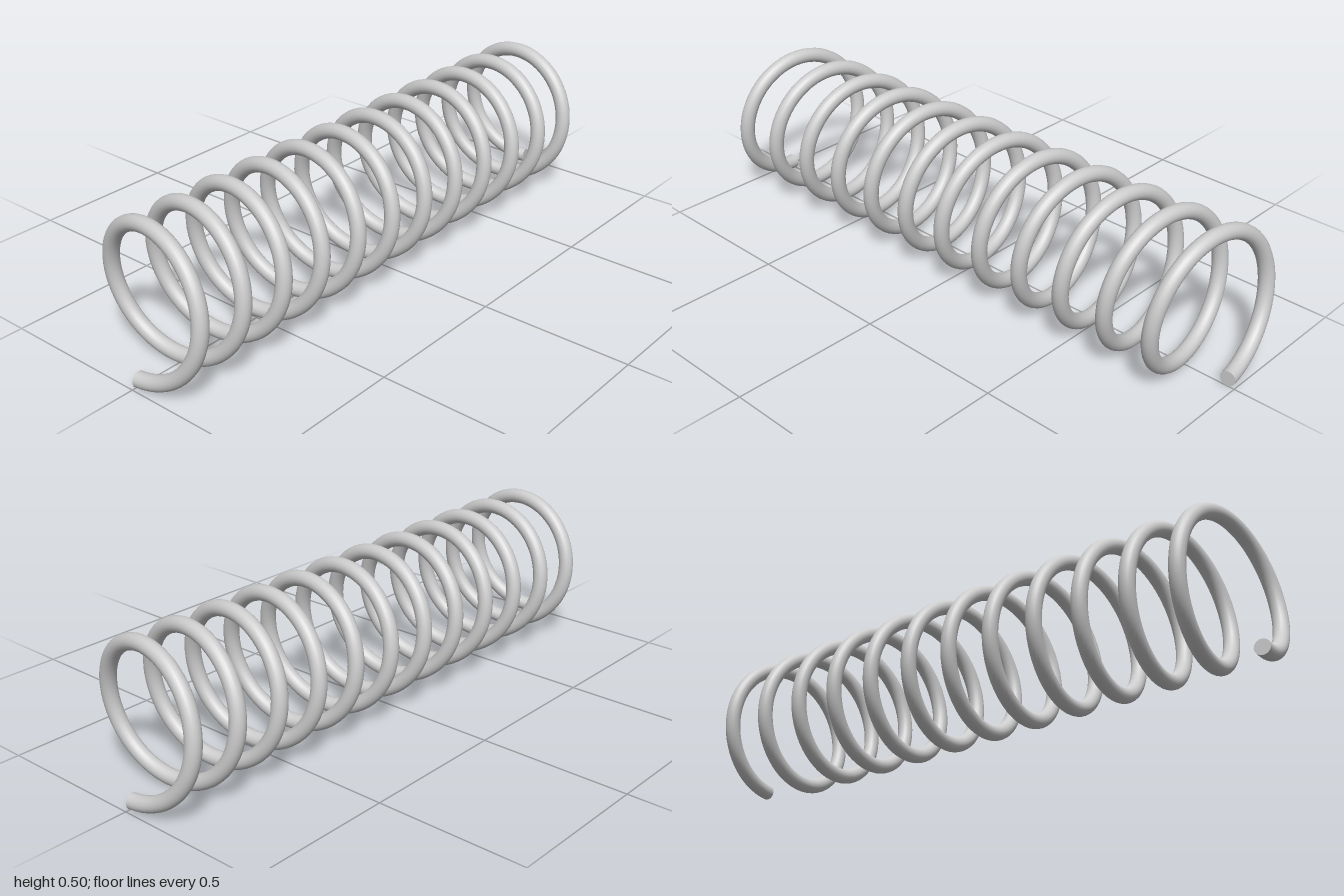
import * as THREE from 'three';

const TURNS = 12;
const COIL_RADIUS = 0.223;
const WIRE_RADIUS = 0.025;
const HALF_LENGTH = 0.975;
const AXIS_HEIGHT = COIL_RADIUS + WIRE_RADIUS;

// Helix along x, starting and ending at the bottom of the coil
class Helix extends THREE.Curve {
  getPoint(t, target = new THREE.Vector3()) {
    const a = t * TURNS * Math.PI * 2;
    return target.set(
      THREE.MathUtils.lerp(-HALF_LENGTH, HALF_LENGTH, t),
      AXIS_HEIGHT - COIL_RADIUS * Math.cos(a),
      COIL_RADIUS * Math.sin(a)
    );
  }
}

export function createModel() {
  const model = new THREE.Group();
  model.name = 'coilSpring';
  const material = new THREE.MeshStandardMaterial({ color: 0xcccccc });
  const helix = new Helix();
  helix.arcLengthDivisions = TURNS * 64;

  // Round wire
  const wire = new THREE.Mesh(
    new THREE.TubeGeometry(helix, TURNS * 64, WIRE_RADIUS, 20, false), material);
  wire.name = 'coilWire';
  model.add(wire);

  // Flat cut ends, facing outward along the wire
  for (const [name, t, sign] of [['rightEndCap', 0, -1], ['leftEndCap', 1, 1]]) {
    const cap = new THREE.Mesh(new THREE.CircleGeometry(WIRE_RADIUS, 20), material);
    cap.name = name;
    cap.position.copy(helix.getPoint(t));
    cap.quaternion.setFromUnitVectors(
      new THREE.Vector3(0, 0, 1), helix.getTangent(t).multiplyScalar(sign));
    model.add(cap);
  }
  return model;
}
